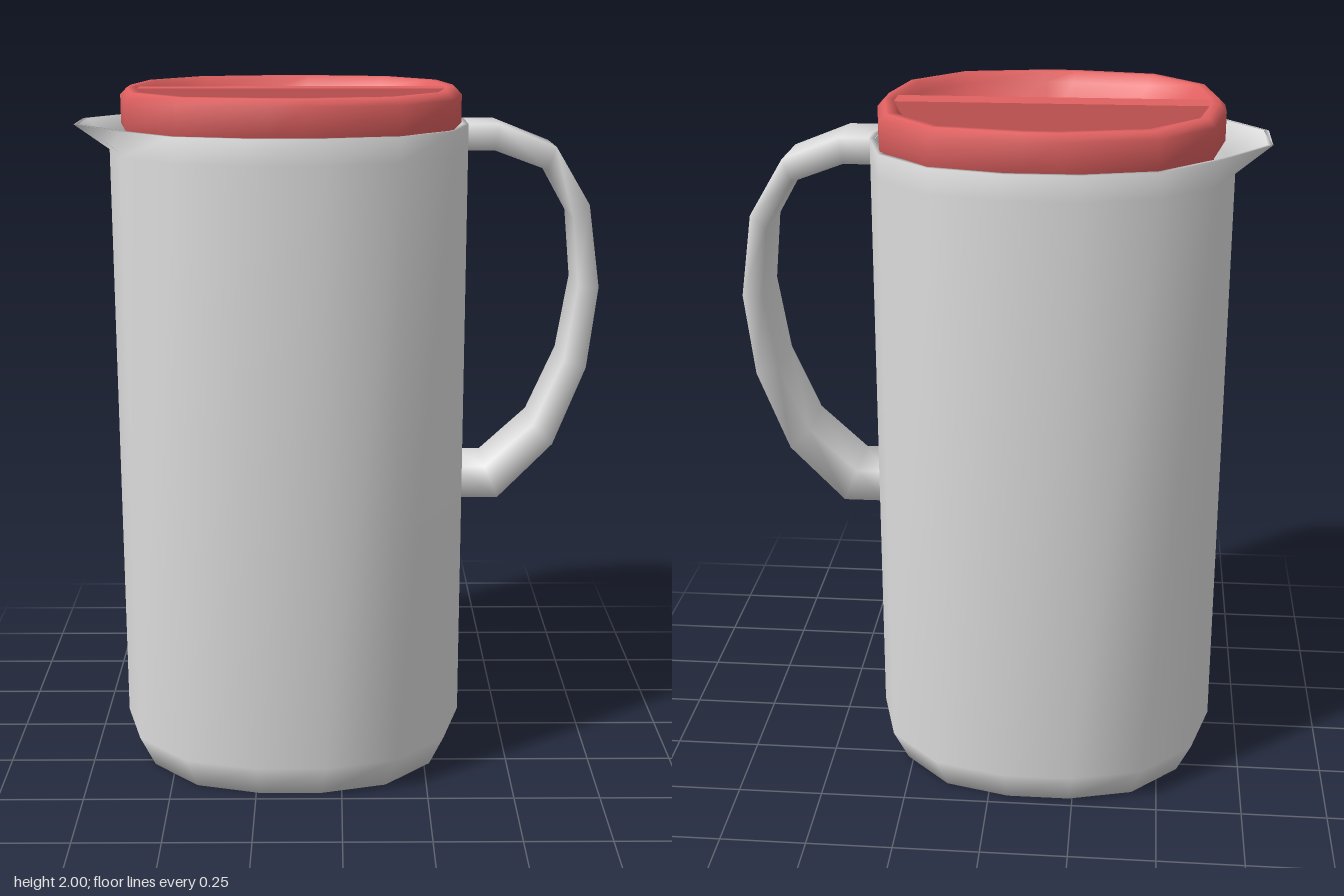
import * as THREE from 'three';

const plastic = new THREE.MeshStandardMaterial({ color: 0xdddddd });
plastic.name = 'pale grey plastic';
const red = new THREE.MeshStandardMaterial({ color: 0xe06060 });
red.name = 'red plastic';

// Smooth surface through equal-length closed rings of [x, y, z] points
function loft(rings) {
  const n = rings[0].length, index = [];
  for (let i = 0; i < rings.length - 1; i++) {
    for (let j = 0; j < n; j++) {
      const a = i * n + j, b = i * n + (j + 1) % n;
      index.push(a, a + n, b, b, a + n, b + n);
    }
  }
  const geometry = new THREE.BufferGeometry();
  geometry.setAttribute('position', new THREE.Float32BufferAttribute(rings.flat(2), 3));
  geometry.setIndex(index);
  geometry.computeVertexNormals();
  return geometry;
}

// Mirror one quarter of a 16-sided outline into the full loop
function outline(q) {
  const r = [...q].reverse();
  return [
    ...q,
    ...r.map(([x, z]) => [-x, z]),
    ...q.map(([x, z]) => [-x, -z]),
    ...r.map(([x, z]) => [x, -z]),
  ];
}

function part(name, geometry, material) {
  const mesh = new THREE.Mesh(geometry, material);
  mesh.name = name;
  return mesh;
}

export function createModel() {
  const group = new THREE.Group();
  group.name = 'pitcher';

  // Body: chamfered foot, straight wall, flared spout, then the inner wall
  const bodyOutline = outline([[0.51, 0.1], [0.455, 0.305], [0.305, 0.455], [0.1, 0.51]]);
  const bodyRing = (scale, y, spout = 0) => bodyOutline.map(([x, z]) => {
    const flare = x < -0.5 ? spout : 0;
    return [x * scale - flare - 0.148, y, z * scale];
  });
  const body = part('body', loft([
    bodyRing(0, 0), bodyRing(0.91, 0), bodyRing(1, 0.1), bodyRing(1, 1.83),
    bodyRing(1, 1.9, 0.1), bodyRing(0.97, 1.9, 0.1), bodyRing(0.97, 1.83),
    bodyRing(0.97, 0.1), bodyRing(0.88, 0.03), bodyRing(0, 0.03),
  ]), plastic);
  group.add(body);

  // Handle: rectangular section given by outer and inner edge at each station
  const stations = [
    [0.345, 1.9, 0.345, 1.825], [0.45, 1.9, 0.44, 1.825], [0.615, 1.835, 0.59, 1.77],
    [0.715, 1.67, 0.67, 1.63], [0.75, 1.43, 0.69, 1.43], [0.722, 1.19, 0.655, 1.21],
    [0.63, 0.955, 0.57, 1.015], [0.47, 0.79, 0.43, 0.885], [0.345, 0.79, 0.345, 0.885],
  ];
  group.add(part('handle', loft(stations.map(([ox, oy, ix, iy]) => [
    [ox, oy, 0.1], [ox, oy, -0.1], [ix, iy, -0.1], [ix, iy, 0.1],
  ])), plastic));

  // Lid: skirt inside the body, bevelled rim and a sunken bowl
  const lidOutline = outline([[0.487, 0.05], [0.45, 0.27], [0.3, 0.44], [0.05, 0.49]]);
  const lidRing = ([scale, y]) => lidOutline.map(([x, z]) => [x * scale - 0.142, y, z * scale]);
  const lid = new THREE.Group();
  lid.name = 'lid';
  lid.add(part('lidShell', loft([
    [0, 1.78], [0.94, 1.78], [0.94, 1.88], [1, 1.9], [1, 1.98], [0.96, 2],
    [0.91, 2], [0.88, 1.97], [0.7, 1.85], [0, 1.81],
  ].map(lidRing)), red));

  // Grip bar across the bowl
  const bar = part('gripBar', new THREE.BoxGeometry(0.9, 0.195, 0.095), red);
  bar.position.set(-0.142, 1.8975, -0.005);
  lid.add(bar);
  group.add(lid);

  return group;
}
